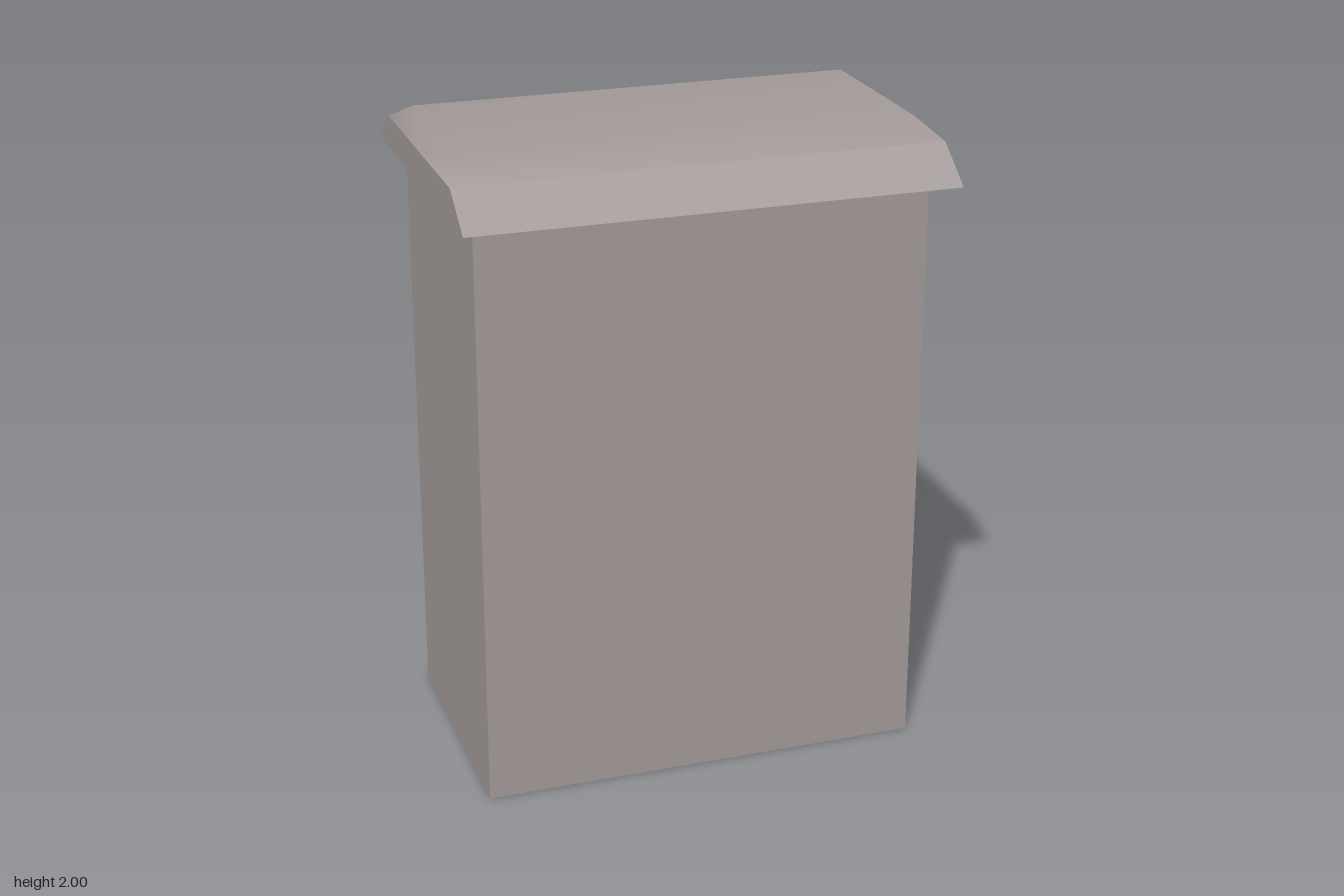
import * as THREE from 'three';

const WALL_X = 0.69, WALL_Z = 0.415, EAVE_Y = 1.845;
const ROOF_X = 0.745, EAVE_Z = 0.535, CROWN_Y = 1.945, CROWN_Z = 0.395;
const TOP_Y = 2, TOP_X = 0.69, TOP_Z = 0.285;

// Four walls, open at the bottom and closed by the roof above
function wallsGeometry() {
  const shell = new THREE.BoxGeometry(WALL_X * 2, EAVE_Y, WALL_Z * 2);
  const index = Array.from(shell.index.array);
  shell.setIndex([...index.slice(0, 12), ...index.slice(24)]);
  shell.clearGroups();
  return shell.translate(0, EAVE_Y / 2, 0);
}

// Flared eaves: a trapezoid running the full width
function eavesGeometry() {
  const profile = new THREE.Shape([
    new THREE.Vector2(-EAVE_Z, EAVE_Y), new THREE.Vector2(EAVE_Z, EAVE_Y),
    new THREE.Vector2(CROWN_Z, CROWN_Y), new THREE.Vector2(-CROWN_Z, CROWN_Y),
  ]);
  return new THREE.ExtrudeGeometry(profile, { depth: ROOF_X * 2, bevelEnabled: false })
    .translate(0, 0, -ROOF_X).rotateY(Math.PI / 2);
}

// Low crown with softly shaded slopes; each end has a middle point
function crownGeometry() {
  const ring = [[-1, 1], [1, 1], [1, 0], [1, -1], [-1, -1], [-1, 0]];
  const top = [[-1, 1], [1, 1], [1, -1], [-1, -1]];
  const points = [
    ...ring.map(([x, z]) => [x * ROOF_X, CROWN_Y, z * CROWN_Z]),
    ...top.map(([x, z]) => [x * TOP_X, TOP_Y, z * TOP_Z]),
  ];
  const geometry = new THREE.BufferGeometry();
  geometry.setAttribute('position', new THREE.Float32BufferAttribute(points.flat(), 3));
  geometry.setIndex([
    0, 1, 7, 0, 7, 6, // front slope
    1, 2, 7, 2, 8, 7, 2, 3, 8, // left end
    3, 4, 9, 3, 9, 8, // back slope
    4, 5, 9, 5, 6, 9, 5, 0, 6, // right end
    6, 7, 8, 6, 8, 9, // flat top
  ]);
  geometry.computeVertexNormals();
  return geometry;
}

export function createModel() {
  const stone = new THREE.MeshStandardMaterial({ color: 0xa39a98, side: THREE.DoubleSide });
  stone.name = 'warm grey';

  const model = new THREE.Group();
  model.name = 'cappedShaft';
  const add = (name, geometry) => {
    const mesh = new THREE.Mesh(geometry, stone);
    mesh.name = name;
    model.add(mesh);
  };
  add('walls', wallsGeometry());
  add('roofEaves', eavesGeometry());
  add('roofCrown', crownGeometry());
  return model;
}
